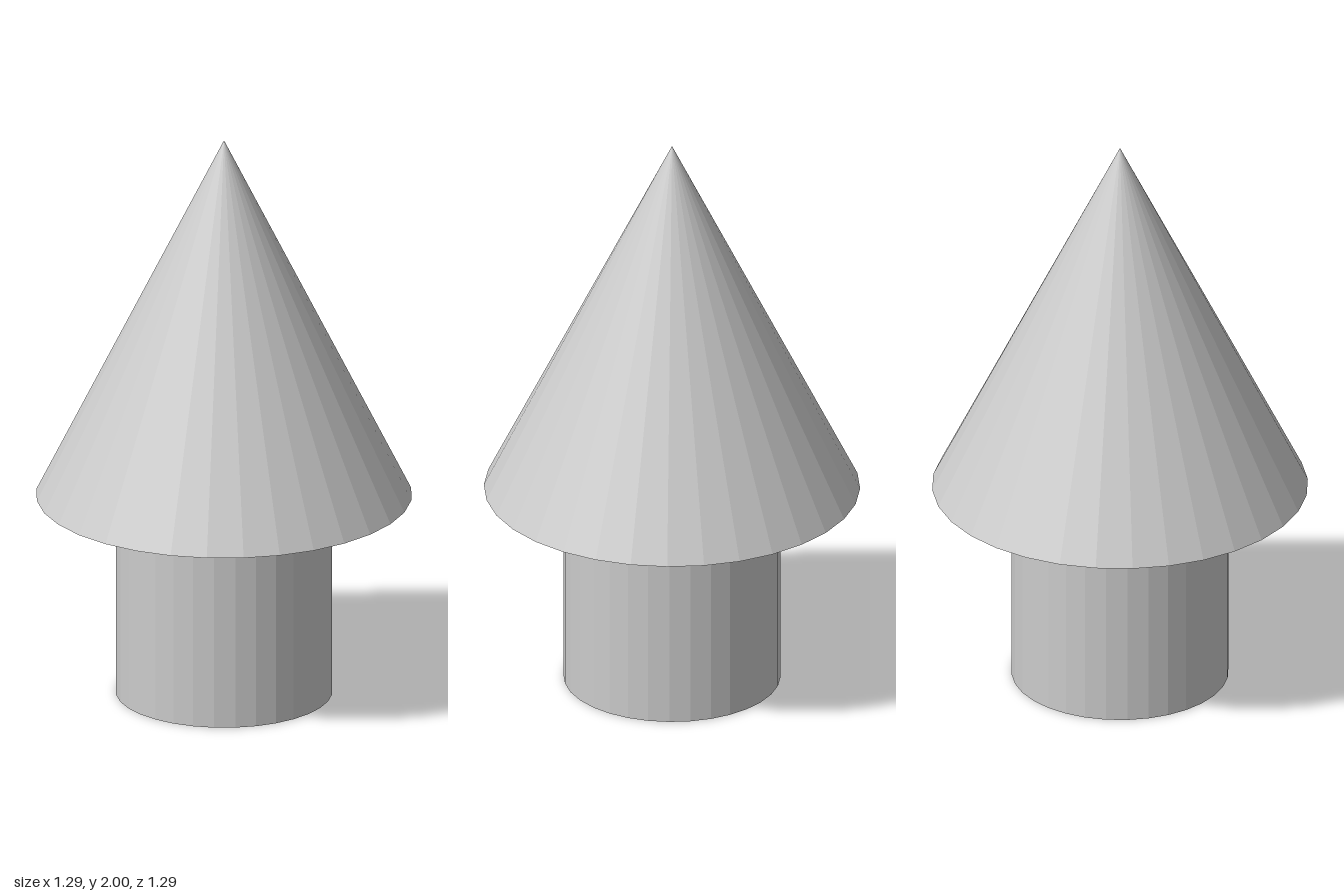
import * as THREE from 'three';

const SIDES = 32;
const BASE_HEIGHT = 0.714;
const TOTAL_HEIGHT = 2;

export function createModel() {
  const model = new THREE.Group();
  const material = new THREE.MeshStandardMaterial({ color: 0xcccccc, flatShading: true });

  const addPart = (name, geometry, y) => {
    const mesh = new THREE.Mesh(geometry, material);
    mesh.name = name;
    mesh.position.y = y;
    model.add(mesh);
  };

  // Round base, standing on the ground
  addPart('base', new THREE.CylinderGeometry(0.371, 0.371, BASE_HEIGHT, SIDES), BASE_HEIGHT / 2);

  // Pointed cone with a closed, overhanging underside
  const coneHeight = TOTAL_HEIGHT - BASE_HEIGHT;
  addPart('cone', new THREE.ConeGeometry(0.643, coneHeight, SIDES), BASE_HEIGHT + coneHeight / 2);

  return model;
}
